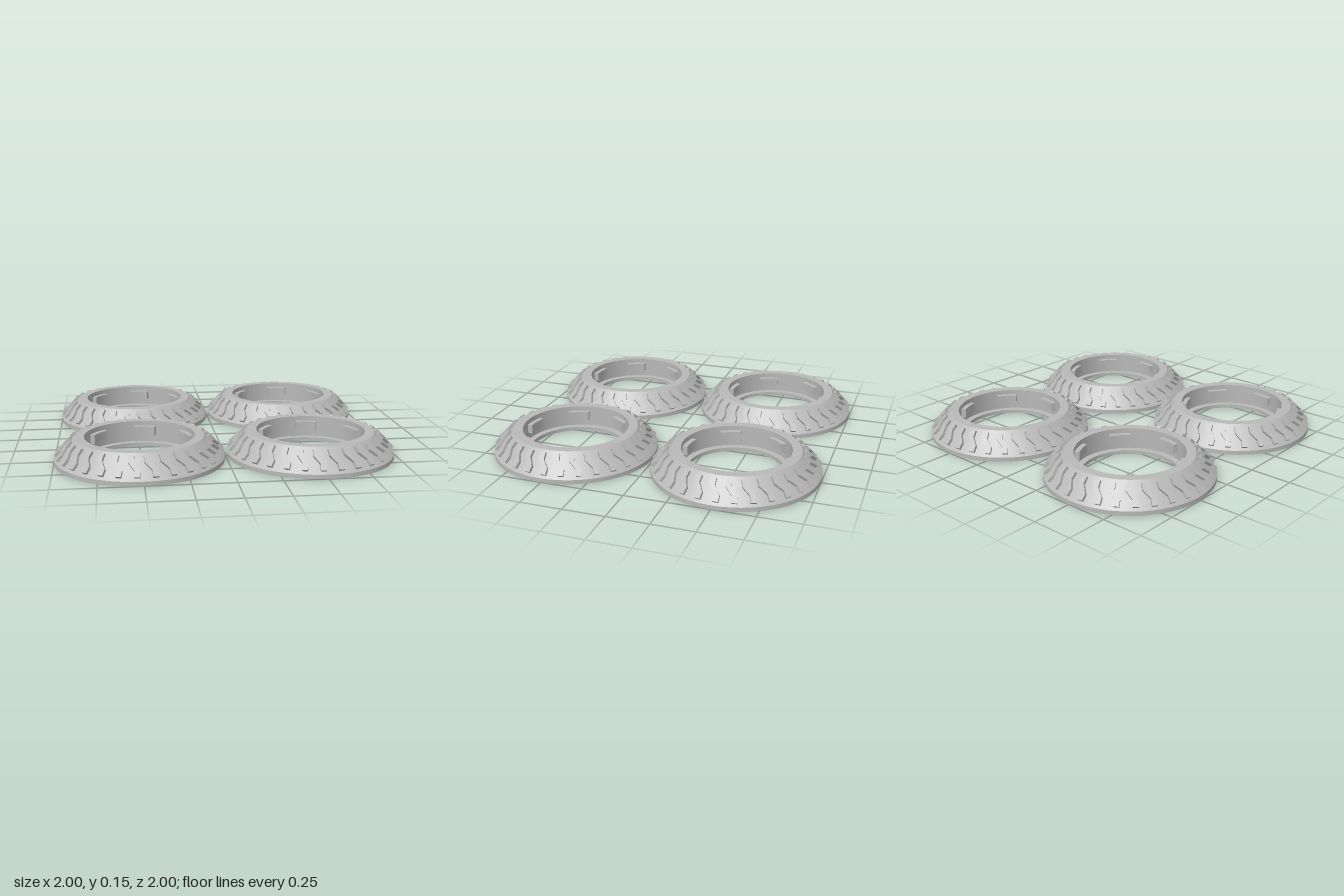
import * as THREE from 'three';
import { toCreasedNormals } from 'three/addons/utils/BufferGeometryUtils.js';

const RAD = Math.PI / 180;
const LUGS = 30, TABS = 6;

// Cone that carries the tread, as (radius, height)
const coneLow = new THREE.Vector2(0.494, 0.026);
const coneHigh = new THREE.Vector2(0.375, 0.149);

// Ring body: closed cross-section turned round the axis
function bodyGeometry() {
  const profile = [
    [0.28, 0], [0.495, 0], [0.495, 0.025], [coneLow.x, coneLow.y], [coneHigh.x, coneHigh.y],
    [0.32, 0.149], [0.32, 0.022], [0.28, 0.022], [0.28, 0],
  ].map(([r, y]) => new THREE.Vector2(r, y));
  return toCreasedNormals(new THREE.LatheGeometry(profile, 120), 25 * RAD);
}

// Tread lug: a stepped bar lying on the cone, x sideways and y up the slope
function lugGeometry() {
  const w = 0.016, shift = 0.018;
  const path = [[shift, 0.018], [shift, 0.058], [-shift, 0.108], [-shift, 0.15]];
  const outline = [
    ...path.map(([x, s]) => [x + w, s]),
    ...path.slice().reverse().map(([x, s]) => [x - w, s]),
  ].map(([x, s]) => new THREE.Vector2(x, s));
  const geometry = new THREE.ExtrudeGeometry(new THREE.Shape(outline), { depth: 0.024, bevelEnabled: false });
  geometry.translate(0, 0, -0.008);
  geometry.rotateX(-Math.atan2(coneLow.x - coneHigh.x, coneHigh.y - coneLow.y));
  geometry.translate(0, coneLow.y, coneLow.x);
  return geometry;
}

// Locking tab: a short curved block on the inner wall
function tabGeometry() {
  const half = 12 * RAD;
  const shape = new THREE.Shape();
  shape.absarc(0, 0, 0.322, -half, half, false);
  shape.absarc(0, 0, 0.291, half, -half, true);
  shape.closePath();
  const geometry = new THREE.ExtrudeGeometry(shape, { depth: 0.055, bevelEnabled: false, curveSegments: 6 });
  geometry.rotateX(-Math.PI / 2);
  geometry.translate(0, 0.065, 0);
  return toCreasedNormals(geometry, 25 * RAD);
}

export function createModel() {
  const model = new THREE.Group();
  model.name = 'tyreRings';
  const rubber = new THREE.MeshStandardMaterial({ color: 0xb8b8b8 });
  rubber.name = 'lightGrey';

  const body = bodyGeometry(), lug = lugGeometry(), tab = tabGeometry();

  const addAround = (parent, geometry, name, count, start) => {
    for (let i = 0; i < count; i++) {
      const mesh = new THREE.Mesh(geometry, rubber);
      mesh.name = name;
      mesh.rotation.y = start + (i * 2 * Math.PI) / count;
      parent.add(mesh);
    }
  };

  // Four equal rings in a square
  for (const x of [-0.505, 0.505]) {
    for (const z of [-0.505, 0.505]) {
      const ring = new THREE.Group();
      ring.name = 'tyreRing';
      ring.position.set(x, 0, z);
      const bodyMesh = new THREE.Mesh(body, rubber);
      bodyMesh.name = 'ringBody';
      ring.add(bodyMesh);
      addAround(ring, lug, 'treadLug', LUGS, Math.PI / LUGS);
      addAround(ring, tab, 'innerTab', TABS, 22 * RAD);
      model.add(ring);
    }
  }
  return model;
}
